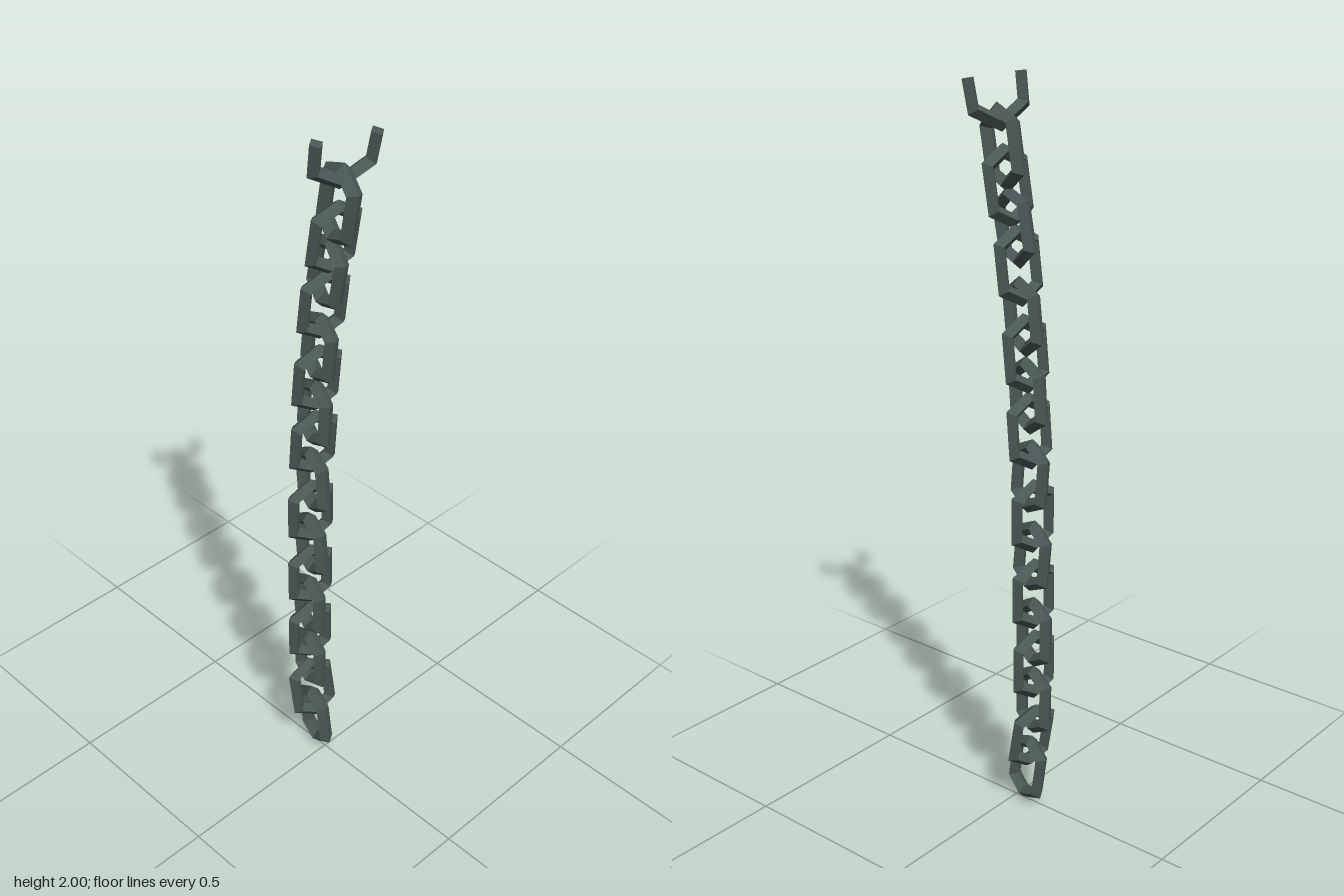
import * as THREE from 'three';

const HALF_T = 0.0175; // half thickness in the link plane
const HALF_D = 0.0205; // half thickness across the link plane

// Sweep a diamond section along a flat counter-clockwise path with mitred corners
function sweepBar(path, closed) {
  const n = path.length;
  const pts = path.map(([x, y]) => new THREE.Vector2(x, y));
  const dir = (i) => pts[(i + 1) % n].clone().sub(pts[(i + n) % n]).normalize();
  const rings = pts.map((p, i) => {
    const dIn = closed || i > 0 ? dir((i - 1 + n) % n) : dir(i);
    const dOut = closed || i < n - 1 ? dir(i) : dIn;
    const t = dIn.clone().add(dOut).normalize();
    const m = HALF_T / t.dot(dOut);
    const nx = t.y * m, ny = -t.x * m;
    return [
      [p.x + nx, p.y + ny, 0], [p.x, p.y, HALF_D],
      [p.x - nx, p.y - ny, 0], [p.x, p.y, -HALF_D],
    ];
  });
  const out = [];
  const quad = (a, b, c, d) => out.push(...a, ...b, ...c, ...a, ...c, ...d);
  for (let i = 0; i < (closed ? n : n - 1); i++) {
    const r = rings[i], s = rings[(i + 1) % n];
    for (let k = 0; k < 4; k++) {
      const l = (k + 1) % 4;
      quad(r[k], s[k], s[l], r[l]);
    }
  }
  if (!closed) {
    quad(...rings[0]);
    quad(...rings[n - 1].slice().reverse());
  }
  const g = new THREE.BufferGeometry();
  g.setAttribute('position', new THREE.Float32BufferAttribute(out, 3));
  g.computeVertexNormals();
  return g;
}

export function createModel() {
  const group = new THREE.Group();
  group.name = 'chain';
  const iron = new THREE.MeshStandardMaterial({ color: 0x4a5856 });
  iron.name = 'dark iron';

  // Six-cornered closed link and the open link at the top
  const linkGeo = sweepBar([
    [0.052, -0.055], [0.052, 0.055], [0, 0.085],
    [-0.052, 0.055], [-0.052, -0.055], [0, -0.085],
  ], true);
  const openGeo = sweepBar([
    [-0.08, 0.118], [-0.076, 0.042], [0, 0], [0.076, 0.042], [0.08, 0.118],
  ], false);

  const YAW = -0.24; // the whole chain is twisted a little about its length
  function addLink(name, geo, x, y, tilt, crosswise) {
    const m = new THREE.Mesh(geo, iron);
    m.name = name;
    m.position.set(x, y, 0);
    m.rotation.set(0, YAW + (crosswise ? Math.PI / 2 : 0), tilt, 'ZYX');
    // tilt is applied after the twist
    group.add(m);
    return m;
  }

  // x, y and tilt of each link from top to bottom, alternating direction
  const links = [
    [0.045, 1.822, -0.17], [0.028, 1.73, -0.17],
    [0.008, 1.63, -0.19], [-0.006, 1.535, -0.13],
    [-0.02, 1.405, -0.11], [-0.03, 1.31, -0.1],
    [-0.037, 1.20, -0.07], [-0.043, 1.105, -0.08],
    [-0.045, 0.98, 0.08], [-0.055, 0.87, 0.0],
    [-0.053, 0.755, 0.09], [-0.058, 0.645, 0.0],
    [-0.06, 0.532, 0.0], [-0.06, 0.435, 0.0],
    [-0.06, 0.325, 0.0], [-0.053, 0.21, 0.17],
    [-0.04, 0.105, 0.14],
  ];
  links.forEach(([x, y, tilt], i) =>
    addLink('link' + (i + 1), linkGeo, x, y, tilt, i % 2 === 1));
  group.children[0].scale.setScalar(1.06);

  // Broken half link at the top
  addLink('openTopLink', openGeo, 0.05, 1.88, -0.17, true);
  return group;
}
